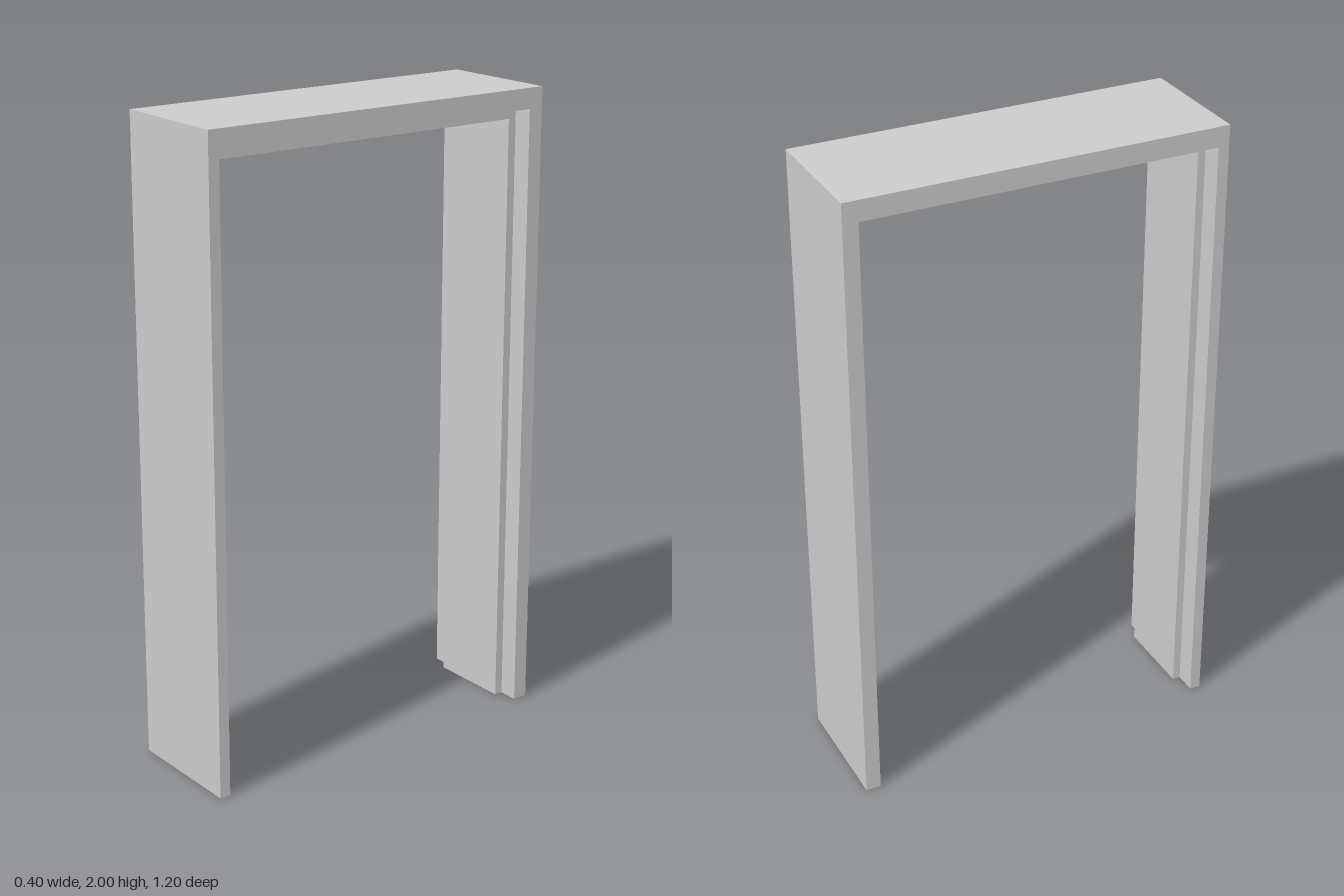
import * as THREE from 'three';

// Rebated door frame: one stepped section swept, with mitred corners, up, across and down.
export function createModel() {
  const group = new THREE.Group();
  group.name = 'doorFrame';

  // Face positions by level: 0 outer face, 1 rebate, 2 door stop
  const frontZ = [0.6, 0.565, 0.54];
  const topY = [2, 1.936, 1.9];
  const backZ = [-0.6, -0.552, -0.525];

  // Section as [x, level]
  const section = [
    [-0.2, 0], [0.2, 0], [0.2, 1], [0.137, 1],
    [0.137, 2], [-0.13, 2], [-0.13, 1], [-0.2, 1],
  ];

  // Stations along the frame: front foot, front corner, back corner, back foot
  const stations = [
    (l) => [0, frontZ[l]],
    (l) => [topY[l], frontZ[l]],
    (l) => [topY[l], backZ[l]],
    (l) => [0, backZ[l]],
  ];
  const rings = stations.map((at) => section.map(([x, l]) => [x, ...at(l)]));

  const positions = [];
  const quad = (a, b, c, d) => positions.push(...a, ...b, ...c, ...a, ...c, ...d);

  // Long faces of the jambs and head
  for (let s = 0; s < 3; s++) {
    for (let i = 0; i < section.length; i++) {
      const j = (i + 1) % section.length;
      quad(rings[s][i], rings[s][j], rings[s + 1][j], rings[s + 1][i]);
    }
  }

  // Feet: lining and stop
  for (const corners of [[0, 1, 2, 7], [3, 4, 5, 6]]) {
    quad(...[...corners].reverse().map((i) => rings[0][i]));
    quad(...corners.map((i) => rings[3][i]));
  }

  const geometry = new THREE.BufferGeometry();
  geometry.setAttribute('position', new THREE.Float32BufferAttribute(positions, 3));
  geometry.computeVertexNormals();

  const frame = new THREE.Mesh(
    geometry,
    new THREE.MeshStandardMaterial({ color: 0xcccccc, flatShading: true })
  );
  frame.name = 'jambsAndHead';
  group.add(frame);
  return group;
}
